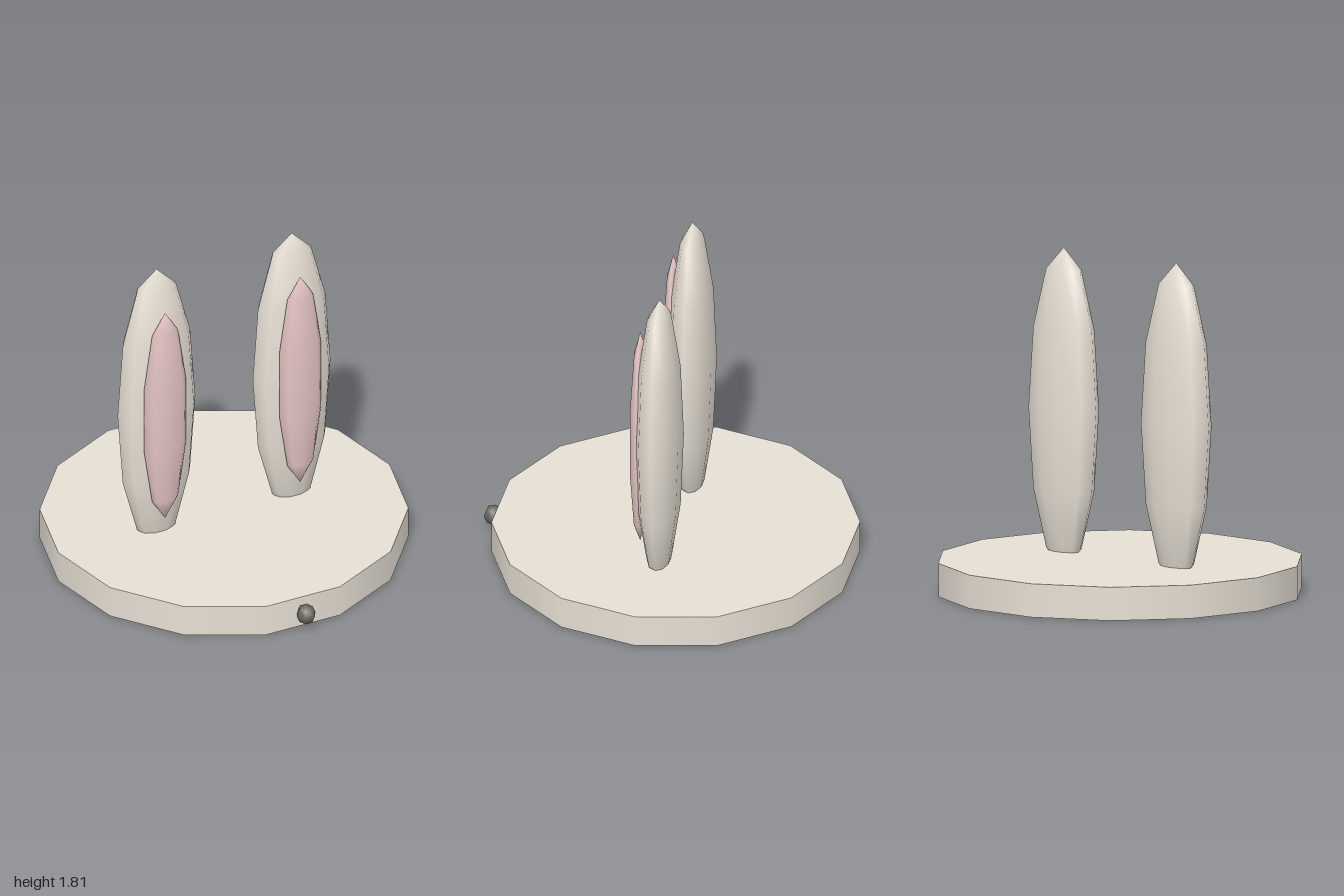
import * as THREE from 'three';

const material = (color) => new THREE.MeshStandardMaterial({ color });

// Low-poly ellipsoid with smooth normals
function ellipsoid(name, [rx, ry, rz], [x, y, z], sides, rings, mat) {
  const geometry = new THREE.SphereGeometry(1, sides, rings).scale(rx, ry, rz);
  const mesh = new THREE.Mesh(geometry, mat);
  mesh.name = name;
  mesh.position.set(x, y, z);
  return mesh;
}

export function createModel() {
  const model = new THREE.Group();
  model.name = 'earsOnBase';
  const cream = material(0xe6dfd3);
  const pink = material(0xe3c4c2);
  const dark = material(0x6e6862);
  const centreZ = -0.04;

  // Fourteen-sided disc with corners on the x axis
  const base = new THREE.Mesh(
    new THREE.CylinderGeometry(0.98, 0.98, 0.18, 14).rotateY(Math.PI / 2), cream);
  base.name = 'base';
  base.position.set(0, 0.09, centreZ);
  model.add(base);

  // Pair of upright ears, each with a pink inner ear on its front
  for (const [name, side] of [['left', 1], ['right', -1]]) {
    const ear = new THREE.Group();
    ear.name = `${name}Ear`;
    ear.position.set(side * 0.4, 0.945, centreZ);
    ear.add(
      ellipsoid('outerEar', [0.23, 0.868, 0.124], [0, 0, 0], 10, 6, cream),
      ellipsoid('innerEar', [0.13, 0.65, 0.054], [0, 0, 0.104], 8, 5, pink));
    model.add(ear);
  }

  // Small knob on the front rim
  model.add(ellipsoid('knob', [0.055, 0.055, 0.055], [0, 0.09, 0.952], 6, 4, dark));

  return model;
}
